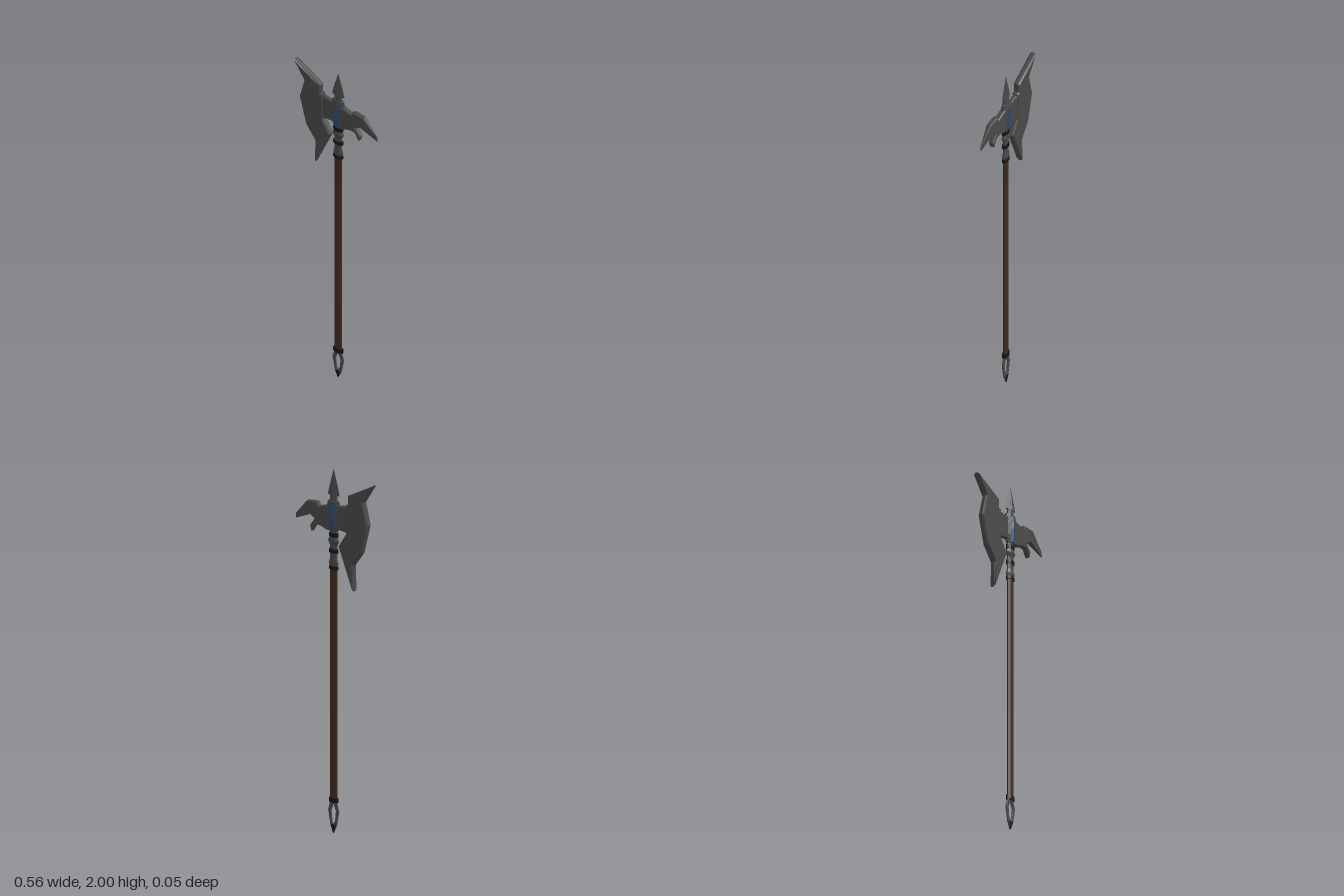
import * as THREE from 'three';

const CX = 0.013; // axis of the shaft
const mat = (color) => new THREE.MeshStandardMaterial({ color, flatShading: true, side: THREE.DoubleSide });

export function createModel() {
  const model = new THREE.Group();
  const steel = mat(0x484848), black = mat(0x161616), wood = mat(0x40291d), blue = mat(0x27496b);

  const add = (name, geometry, material) => {
    const mesh = new THREE.Mesh(geometry, material);
    mesh.name = name;
    model.add(mesh);
    return mesh;
  };

  // Faceted body from a [radius, y] profile, flattened front to back
  const turned = (name, profile, material, flat = 0.45, sides = 8) => {
    const turn = sides === 4 ? 0 : Math.PI / sides;
    const k = sides === 4 ? 1 : 1 / Math.cos(turn);
    const pts = profile.map(([r, y]) => new THREE.Vector2(r * k, y));
    const g = new THREE.LatheGeometry(pts, sides, turn);
    g.scale(1, 1, flat);
    g.translate(CX, 0, 0);
    return add(name, g, material);
  };

  // Plate with bevelled rim: z runs from -half to +half, rim is at +-rim
  const plate = (pts, half, rim, bevel, hole) => {
    const shape = new THREE.Shape(pts.map(([x, y]) => new THREE.Vector2(x, y)));
    if (hole) shape.holes.push(new THREE.Path(hole.map(([x, y]) => new THREE.Vector2(x, y))));
    const g = new THREE.ExtrudeGeometry(shape, {
      depth: rim * 2, bevelEnabled: bevel > 0, bevelSegments: 1,
      bevelThickness: half - rim, bevelSize: bevel, bevelOffset: -bevel,
    });
    g.translate(0, 0, -rim);
    return g;
  };

  // Shaft
  turned('shaft', [[0, 0.18], [0.022, 0.18], [0.022, 1.46], [0, 1.46]], wood);

  // Dark binding rings
  for (const [y, h] of [[0.183, 0.024], [1.458, 0.018], [1.55, 0.02], [1.638, 0.022]]) {
    turned('bindingRing', [[0, y - h / 2], [0.03, y - h / 2], [0.03, y + h / 2], [0, y + h / 2]], black, 0.48);
  }

  // Metal neck with two swellings
  turned('neck', [
    [0.022, 1.455], [0.03, 1.485], [0.022, 1.51], [0.022, 1.58],
    [0.035, 1.605], [0.024, 1.628], [0.024, 1.67],
  ], steel, 0.45);

  // Socket holding the head, with a gem on each face
  turned('socket', [
    [0, 1.655], [0.03, 1.66], [0.045, 1.705], [0.045, 1.775], [0.036, 1.825], [0, 1.83],
  ], steel, 0.41);
  for (const s of [1, -1]) {
    const gem = turned('gem', [
      [0, 1.652], [0.014, 1.665], [0.025, 1.738], [0.014, 1.805], [0, 1.818],
    ], blue, 0.44, 4);
    gem.position.z = s * 0.016;
  }

  // Blade and its connector
  add('blade', plate([
    [-0.28, 1.966], [-0.209, 1.86], [-0.241, 1.738], [-0.198, 1.58], [-0.135, 1.5],
    [-0.135, 1.357], [-0.03, 1.585], [-0.082, 1.66], [-0.082, 1.822], [-0.098, 1.826], [-0.098, 1.876],
  ], 0.018, 0.009, 0.008), steel);
  add('bladeConnector', plate([
    [-0.09, 1.815], [-0.09, 1.668], [-0.03, 1.675], [0.02, 1.67], [0.02, 1.815], [-0.03, 1.805],
  ], 0.012, 0.007, 0.005), steel);

  // Beak on the opposite side, thinning towards its point
  const beak = plate([
    [0.02, 1.805], [0.06, 1.795], [0.112, 1.78], [0.12, 1.802], [0.193, 1.796], [0.278, 1.708], [0.28, 1.68],
    [0.172, 1.722], [0.14, 1.705], [0.172, 1.664], [0.161, 1.632], [0.135, 1.672], [0.103, 1.675],
    [0.06, 1.66], [0.02, 1.66],
  ], 0.015, 0.009, 0.005);
  const p = beak.attributes.position;
  for (let i = 0; i < p.count; i++) {
    const t = THREE.MathUtils.clamp((p.getX(i) - 0.18) / 0.1, 0, 1);
    p.setZ(i, p.getZ(i) * (1 - 0.75 * t));
  }
  beak.computeVertexNormals();
  add('beak', beak, steel);

  // Top spike on a short stem
  turned('spikeStem', [[0.024, 1.81], [0.02, 1.9]], steel, 0.5);
  turned('spike', [[0, 1.88], [0.042, 1.855], [0.028, 1.91], [0, 2]], steel, 0.38, 4);

  // Open pommel frame ending in a point
  const about = (pts) => pts.map(([x, y]) => [CX + x, y]);
  add('pommel', plate(
    about([[-0.022, 0.178], [-0.038, 0.125], [-0.022, 0.045], [0, 0], [0.022, 0.045], [0.038, 0.125], [0.022, 0.178]]),
    0.005, 0.002, 0.003,
    about([[0, 0.168], [-0.017, 0.125], [-0.011, 0.07], [0, 0.052], [0.011, 0.07], [0.017, 0.125]]),
  ), steel);
  add('pommelTip', plate(
    about([[-0.021, 0.045], [0, 0], [0.021, 0.045], [0, 0.054]]), 0.006, 0.002, 0.003), black);

  return model;
}
